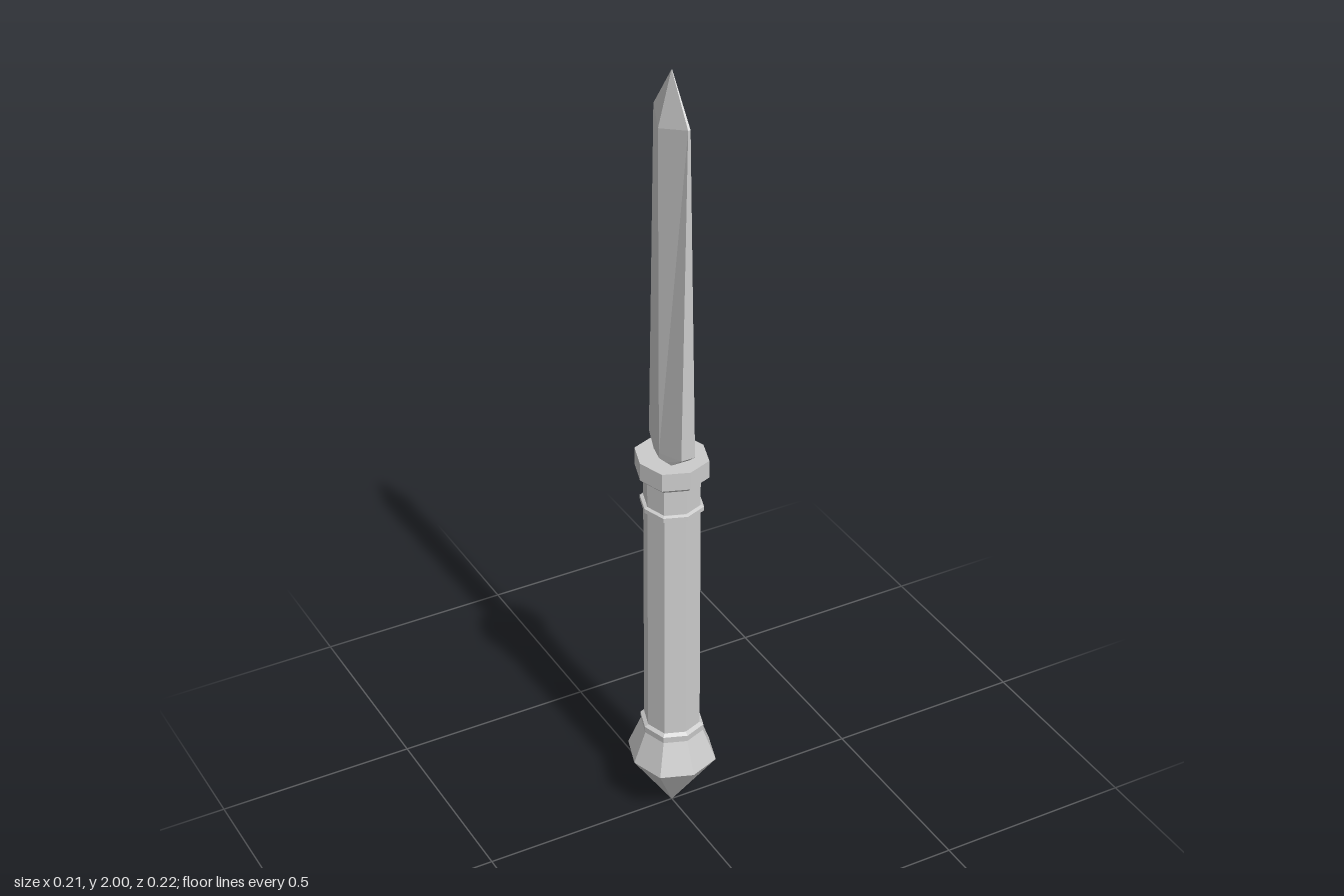
import * as THREE from 'three';

const material = new THREE.MeshStandardMaterial({ color: 0xcccccc, flatShading: true });

// Skins a stack of equal-sized rings of [x, y, z] points and caps both ends.
function loft(name, rings) {
  const n = rings[0].length;
  const pos = rings.flat(2);
  const index = [];
  for (let r = 0; r < rings.length - 1; r++) {
    for (let i = 0; i < n; i++) {
      const a = r * n + i, b = r * n + (i + 1) % n;
      index.push(a, b, b + n, a, b + n, a + n);
    }
  }
  const top = (rings.length - 1) * n;
  for (let i = 1; i < n - 1; i++) {
    index.push(0, i + 1, i);
    index.push(top, top + i, top + i + 1);
  }
  const geometry = new THREE.BufferGeometry();
  geometry.setAttribute('position', new THREE.Float32BufferAttribute(pos, 3));
  geometry.setIndex(index);
  const flat = geometry.toNonIndexed();
  flat.computeVertexNormals();
  const mesh = new THREE.Mesh(flat, material);
  mesh.name = name;
  return mesh;
}

// Eight-sided ring with corners on the axes, slightly deeper than wide.
function octagon(radius, y) {
  const ring = [];
  for (let i = 0; i < 8; i++) {
    const a = (i * Math.PI) / 4;
    const r = radius * (i % 2 ? 1.05 : 1);
    ring.push([r * Math.sin(a), y, r * 1.07 * Math.cos(a)]);
  }
  return ring;
}

const turned = (name, profile) => loft(name, profile.map(([r, y]) => octagon(r, y)));

// Six-sided blade section: narrow edges at +-z, ridges at +-x.
function bladeSection(edgeX, edgeZ, edgeY, ridgeX, ridgeY) {
  return [
    [edgeX, edgeY, edgeZ], [ridgeX, ridgeY, 0], [edgeX, edgeY, -edgeZ],
    [-edgeX, edgeY, -edgeZ], [-ridgeX, ridgeY, 0], [-edgeX, edgeY, edgeZ],
  ];
}

export function createModel() {
  const model = new THREE.Group();
  model.name = 'dagger';

  model.add(
    // Pointed pommel
    turned('pommel', [[0.0005, 0], [0.105, 0.155], [0.074, 0.238]]),
    // Collar above the pommel
    turned('collar', [[0.074, 0.238], [0.075, 0.255], [0.066, 0.261]]),
    // Long grip
    turned('grip', [[0.066, 0.24], [0.065, 0.98]]),
    // Thin band near the top of the grip
    turned('gripBand', [[0.066, 0.883], [0.073, 0.886], [0.073, 0.897], [0.066, 0.9]]),
    // Guard plate under the blade
    turned('guard', [[0.074, 0.97], [0.084, 0.98], [0.084, 1.026]]),
    // Blade with chamfered heel and pointed tip
    loft('blade', [
      bladeSection(0.026, 0.035, 1.02, 0.034, 1.015),
      bladeSection(0.018, 0.078, 1.055, 0.034, 1.04),
      bladeSection(0.003, 0.078, 1.89, 0.034, 1.87),
      bladeSection(0.0005, 0.001, 2.0, 0.001, 2.0),
    ]),
  );
  return model;
}
